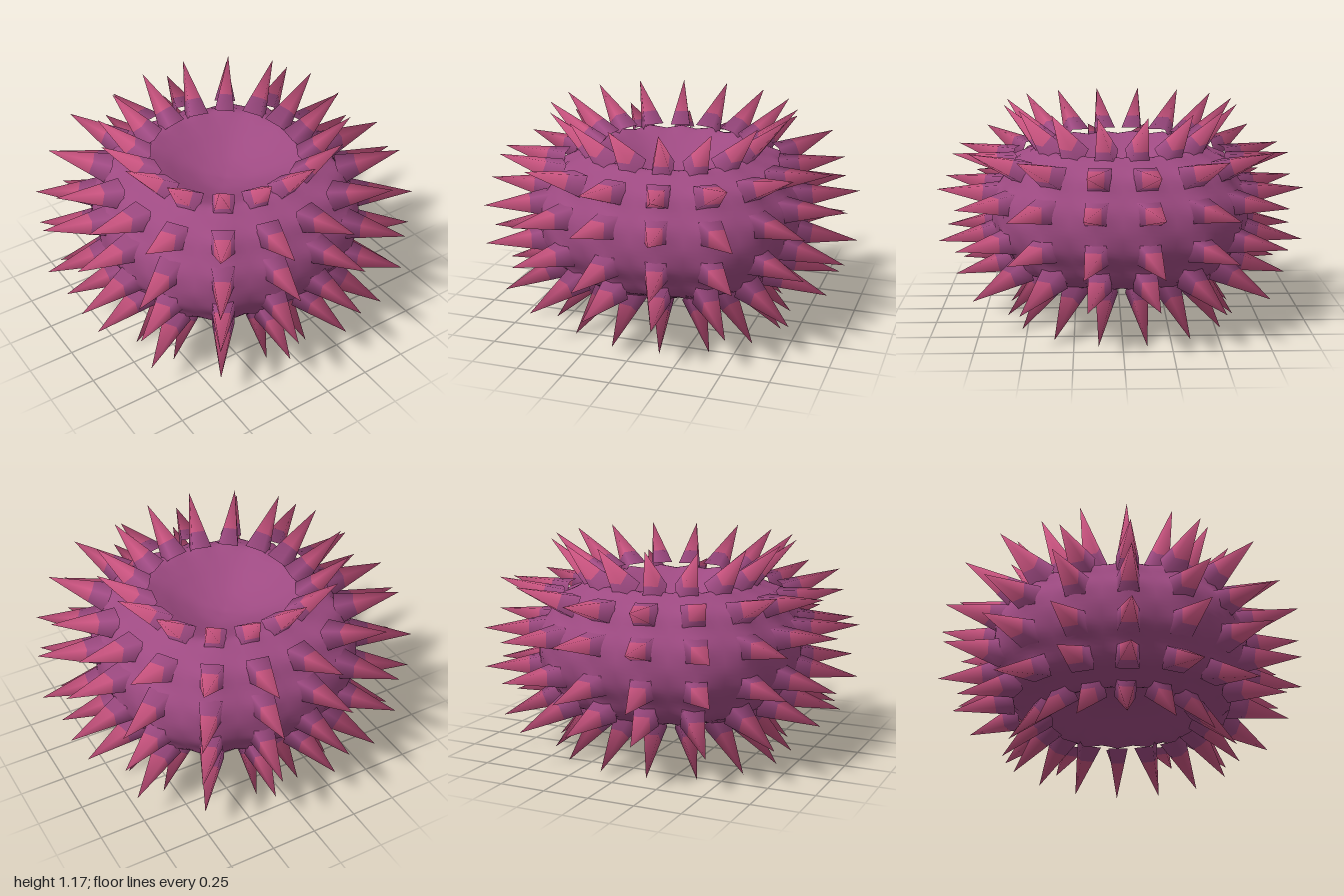
import * as THREE from 'three';
import { mergeVertices, mergeGeometries } from 'three/addons/utils/BufferGeometryUtils.js';

const MID = 0.595, COLUMNS = 16;
const PINK_START = 0.3; // share of each spike that is a body-coloured foot

// Slightly squared-off plan outline
const squareness = (a) => 1 + 0.065 * Math.sin(2 * a) ** 4;

// Rows of spikes in the upper half (mirrored below): heights are above the middle,
// lift and grow change the tip height and reach toward the corners, depth scales z
const ROWS = [
  { name: 'rimSpikes', baseR: 0.41, baseY: 0.345, tipR: 0.675, tipY: 0.585, lift: 0, grow: 0, depth: 0.94, width: 0.11 },
  { name: 'shoulderSpikes', baseR: 0.59, baseY: 0.26, tipR: 0.93, tipY: 0.32, lift: 0.075, grow: 0.02, depth: 0.98, width: 0.12 },
  { name: 'sideSpikes', baseR: 0.66, baseY: 0.1, tipR: 1.018, tipY: 0.15, lift: -0.05, grow: 0.025, depth: 0.98, width: 0.12 },
];

// Base and tip of every spike
function listSpikes() {
  const spikes = [];
  for (const row of ROWS) {
    for (const side of [1, -1]) {
      for (let i = 0; i < COLUMNS; i++) {
        const a = (i + 0.5) / COLUMNS * Math.PI * 2;
        const corner = Math.sin(2 * a) ** 2;
        const br = row.baseR * squareness(a);
        const tr = row.tipR * (1 + row.grow * corner);
        const base = new THREE.Vector3(br * Math.cos(a), MID + side * row.baseY, br * Math.sin(a));
        const tip = new THREE.Vector3(
          tr * Math.cos(a),
          MID + side * (row.tipY + row.lift * corner),
          tr * Math.sin(a) * row.depth);
        const dir = tip.clone().sub(base).normalize();
        spikes.push({ row, side, a, base, tip, dir });
      }
    }
  }
  return spikes;
}

// Squat round body with dimpled poles, swelling at the foot of each spike
function makeBody(spikes) {
  const half = [[0.7, 0], [0.678, 0.1], [0.635, 0.19], [0.57, 0.275], [0.49, 0.322], [0.41, 0.335],
    [0.32, 0.305], [0.23, 0.26], [0.12, 0.217], [0, 0.2]];
  const points = [
    ...half.slice(1).reverse().map(([r, y]) => new THREE.Vector2(r, MID - y)),
    ...half.map(([r, y]) => new THREE.Vector2(r, MID + y)),
  ];
  const profile = new THREE.SplineCurve(points).getPoints(72);
  profile[0].x = profile[72].x = 0;
  let geo = new THREE.LatheGeometry(profile, 64);
  geo.deleteAttribute('uv');
  geo.deleteAttribute('normal');
  const pos = geo.attributes.position;
  const v = new THREE.Vector3(), push = new THREE.Vector3();
  for (let i = 0; i < pos.count; i++) {
    v.fromBufferAttribute(pos, i);
    const s = squareness(Math.atan2(v.z, v.x));
    v.x *= s;
    v.z *= s;
    push.set(0, 0, 0);
    for (const { base, dir } of spikes) {
      const d = v.distanceTo(base) / 0.065;
      if (d < 3) push.addScaledVector(dir, 0.035 * Math.exp(-d * d));
    }
    v.add(push);
    pos.setXYZ(i, v.x, v.y, v.z);
  }
  geo = mergeVertices(geo, 1e-4);
  geo.computeVertexNormals();
  return geo;
}

// Length of a four-sided spike between shares t0 and t1, squared to the surface
function makeSegment({ row, a, base, tip, dir }, t0, t1) {
  const length = base.distanceTo(tip);
  const radius = row.width / Math.SQRT2;
  const geo = new THREE.CylinderGeometry(radius * (1 - t1), radius * (1 - t0), length * (t1 - t0), 4, 1, true);
  geo.rotateY(Math.PI / 4);
  geo.translate(0, length * (t0 + t1) / 2, 0);

  // Soft normals that turn along the spike toward its tip
  const pos = geo.attributes.position, n = new THREE.Vector3();
  for (let i = 0; i < pos.count; i++) {
    n.set(pos.getX(i) / radius, 0.8, pos.getZ(i) / radius).normalize();
    geo.attributes.normal.setXYZ(i, n.x, n.y, n.z);
  }

  const across = new THREE.Vector3(-Math.sin(a), 0, Math.cos(a));
  across.addScaledVector(dir, -across.dot(dir)).normalize();
  const up = new THREE.Vector3().crossVectors(across, dir);
  return geo.applyMatrix4(new THREE.Matrix4().makeBasis(across, dir, up).setPosition(base));
}

export function createModel() {
  const bodyPurple = new THREE.MeshStandardMaterial({ color: 0x9e4a82 });
  bodyPurple.name = 'bodyPurple';
  const spikePink = new THREE.MeshStandardMaterial({ color: 0xc9537f });
  spikePink.name = 'spikePink';

  const group = new THREE.Group();
  group.name = 'spinyUrchin';
  const spikes = listSpikes();

  const add = (name, geometry, material) => {
    const mesh = new THREE.Mesh(geometry, material);
    mesh.name = name;
    group.add(mesh);
  };
  add('body', makeBody(spikes), bodyPurple);

  // Rings of spikes: purple feet and pink points
  for (const row of ROWS) {
    for (const side of [1, -1]) {
      const ring = spikes.filter((s) => s.row === row && s.side === side);
      const name = (side > 0 ? 'upper_' : 'lower_') + row.name;
      add(name + '_feet', mergeGeometries(ring.map((s) => makeSegment(s, 0, PINK_START))), bodyPurple);
      add(name + '_points', mergeGeometries(ring.map((s) => makeSegment(s, PINK_START, 1))), spikePink);
    }
  }
  return group;
}
